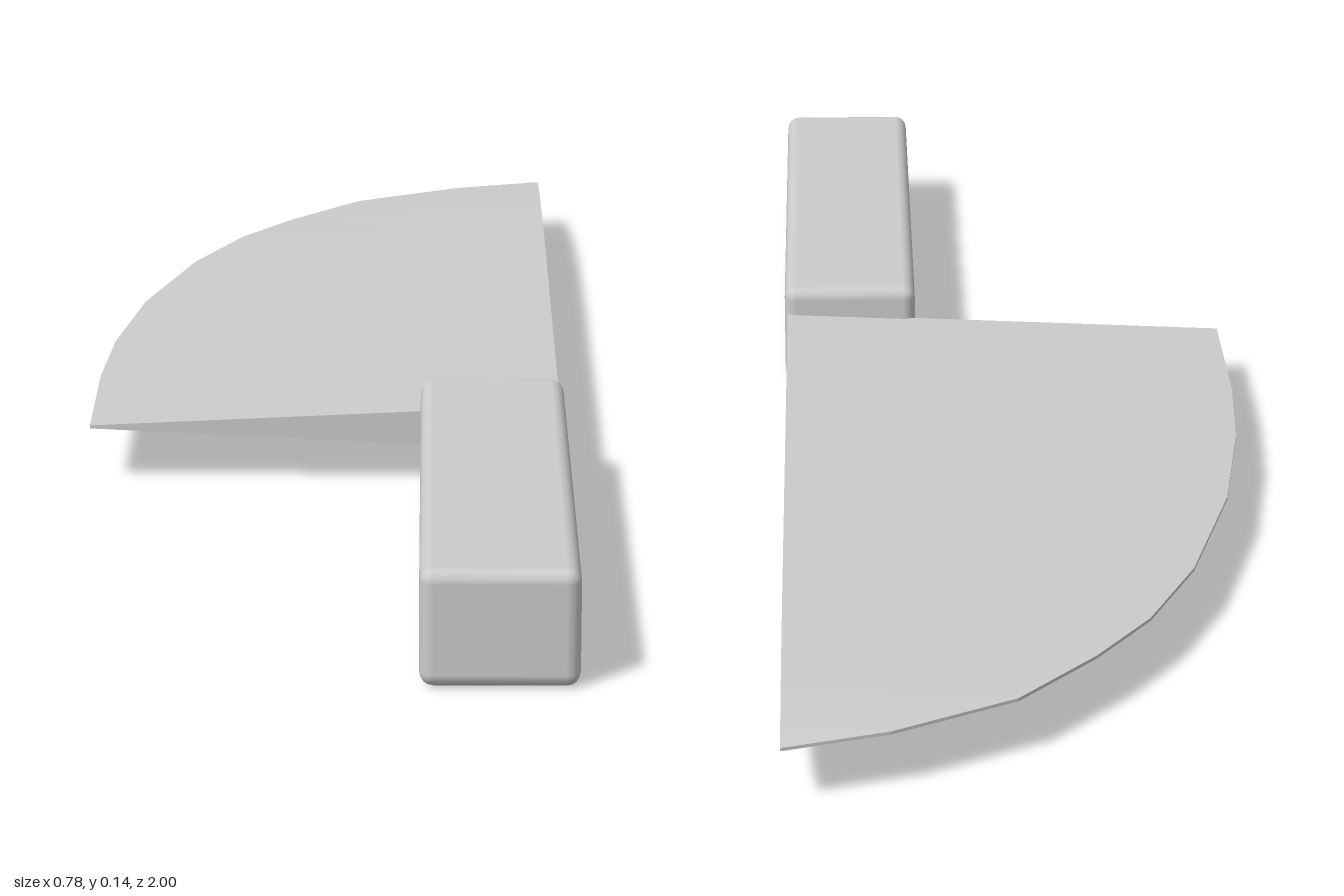
import * as THREE from 'three';
import { RoundedBoxGeometry } from 'three/addons/geometries/RoundedBoxGeometry.js';

const TIP = [0.035, -1];
const TILT = 0.175; // yaw of the whole knife
const MID_Y = 0.071;

// Cutting edge from tip to heel: x, z, half thickness of the spine opposite
const EDGE = [
  [0.033, -0.998, 0.002], [-0.08, -0.94, 0.01], [-0.21, -0.835, 0.019],
  [-0.285, -0.71, 0.0255], [-0.335, -0.6, 0.0285], [-0.372, -0.45, 0.03],
  [-0.392, -0.23, 0.03], [-0.385, -0.03, 0.03], [-0.365, 0.13, 0.03],
  [-0.325, 0.345, 0.03],
];

// Wedge lofted through sections square to the straight spine
function bladeGeometry() {
  const dx = Math.sin(TILT), dz = Math.cos(TILT);
  const rings = EDGE.map(([x, z, t]) => {
    const s = Math.max(0, (x - TIP[0]) * dx + (z - TIP[1]) * dz);
    const sx = TIP[0] + s * dx, sz = TIP[1] + s * dz;
    return [
      [x, MID_Y + 0.002, z], [sx, MID_Y + t, sz],
      [sx, MID_Y - t, sz], [x, MID_Y - 0.002, z],
    ];
  });
  const pos = [];
  const quad = (a, b, c, d) => pos.push(...a, ...b, ...c, ...a, ...c, ...d);
  for (let i = 0; i < rings.length - 1; i++) {
    const p = rings[i], q = rings[i + 1];
    for (let j = 0; j < 4; j++) {
      const k = (j + 1) % 4;
      quad(p[j], q[j], q[k], p[k]);
    }
  }
  const heel = rings[rings.length - 1], tip = rings[0];
  quad(heel[0], heel[3], heel[2], heel[1]);
  quad(tip[0], tip[1], tip[2], tip[3]);
  const geo = new THREE.BufferGeometry();
  geo.setAttribute('position', new THREE.Float32BufferAttribute(pos, 3));
  geo.computeVertexNormals();
  return geo;
}

export function createModel() {
  const grey = new THREE.MeshStandardMaterial({ color: 0xcccccc });
  grey.name = 'plain grey';

  const group = new THREE.Group();
  group.name = 'kitchenKnife';

  const blade = new THREE.Mesh(bladeGeometry(), grey);
  blade.name = 'blade';

  // Softly rounded bar handle in line with the spine
  const handle = new THREE.Mesh(new RoundedBoxGeometry(0.178, 0.137, 0.747, 2, 0.016), grey);
  handle.name = 'handle';
  handle.position.set(0.235, 0.0685, 0.62);
  handle.rotation.y = TILT;

  group.add(blade, handle);
  return group;
}
